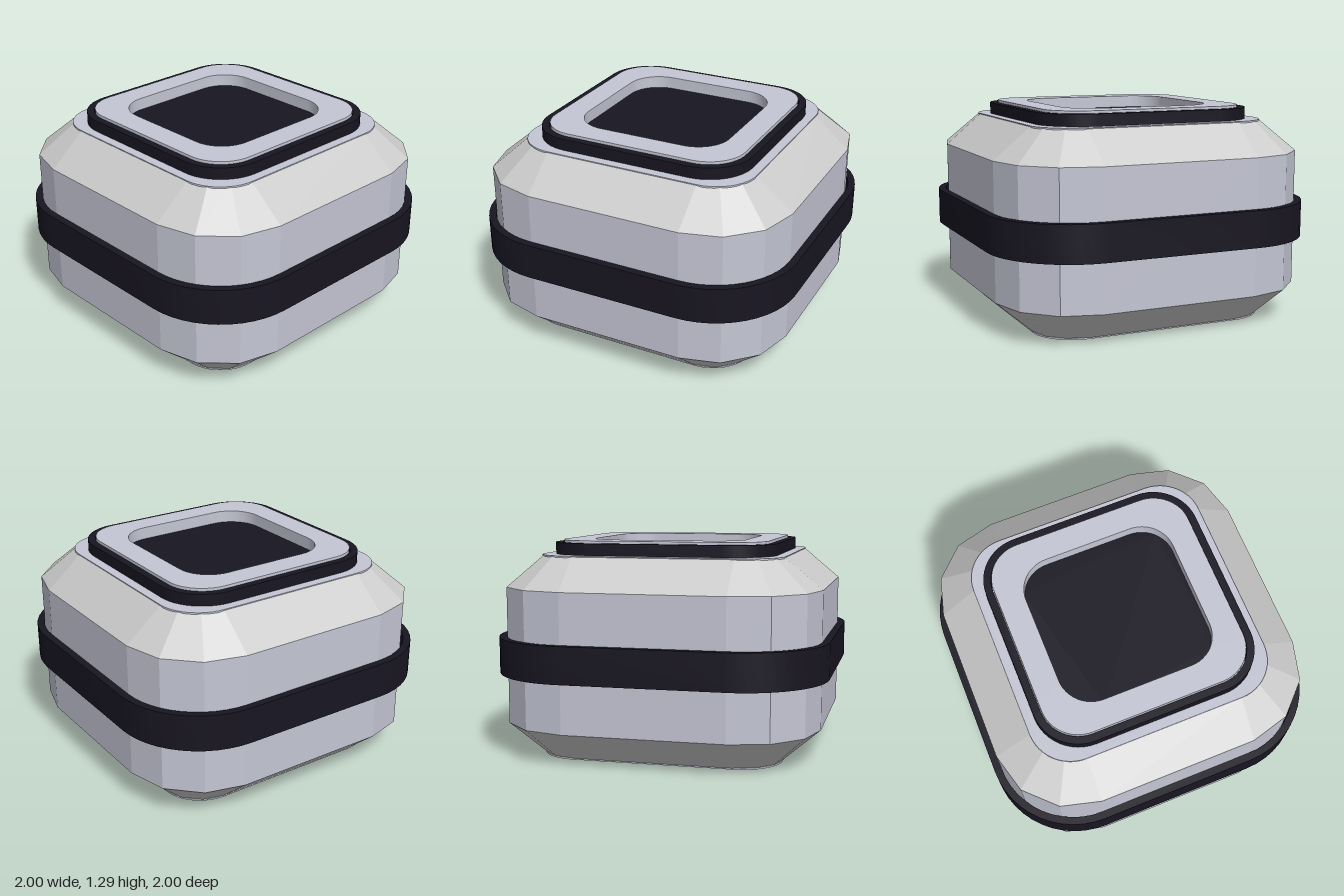
import * as THREE from 'three';
import { toCreasedNormals } from 'three/addons/utils/BufferGeometryUtils.js';

const SHELL = 0xc4c6d4, GREY = 0xcccccc, DARK = 0x181521;

// Outline of a rounded square, counter-clockwise
function outline(half, radius, segments) {
  const points = [], c = half - radius;
  for (let q = 0; q < 4; q++) {
    const cx = q === 0 || q === 3 ? c : -c;
    const cy = q < 2 ? c : -c;
    for (let i = 0; i <= segments; i++) {
      const a = (q + i / segments) * Math.PI / 2;
      points.push(new THREE.Vector2(cx + radius * Math.cos(a), cy + radius * Math.sin(a)));
    }
  }
  return points;
}

function addMesh(group, name, geometry, color, options = {}) {
  const mesh = new THREE.Mesh(geometry, new THREE.MeshStandardMaterial({ color, ...options }));
  mesh.name = name;
  group.add(mesh);
}

// Upright slab between two heights, with an optional rounded-square hole
function slab(y0, y1, half, radius, holeHalf, holeRadius) {
  const shape = new THREE.Shape(outline(half, radius, 12));
  if (holeHalf) shape.holes.push(new THREE.Path(outline(holeHalf, holeRadius, 12)));
  const geometry = new THREE.ExtrudeGeometry(shape, { depth: y1 - y0, bevelEnabled: false });
  geometry.rotateX(-Math.PI / 2).translate(0, y0, 0);
  return toCreasedNormals(geometry, 0.5);
}

// Faceted wall joining two rounded squares, three facets per corner
function facetedWall(y0, half0, radius0, y1, half1, radius1) {
  const low = outline(half0, radius0, 3), high = outline(half1, radius1, 3);
  const positions = [];
  const put = (p, y) => positions.push(p.x, y, -p.y);
  for (let i = 0; i < low.length; i++) {
    const j = (i + 1) % low.length;
    put(low[i], y0); put(low[j], y0); put(high[j], y1);
    put(low[i], y0); put(high[j], y1); put(high[i], y1);
  }
  const geometry = new THREE.BufferGeometry();
  geometry.setAttribute('position', new THREE.Float32BufferAttribute(positions, 3));
  geometry.computeVertexNormals();
  return geometry;
}

export function createModel() {
  const group = new THREE.Group();
  group.name = 'roundedSquareContainer';
  const flat = { flatShading: true, side: THREE.DoubleSide };

  // Faceted body and its sloping shoulders
  addMesh(group, 'bodyWall', facetedWall(0.2, 0.955, 0.475, 1.02, 0.955, 0.475), SHELL, flat);
  addMesh(group, 'lowerBevel', facetedWall(0.005, 0.73, 0.25, 0.2, 0.955, 0.475), GREY, flat);
  addMesh(group, 'upperBevel', facetedWall(1.02, 0.955, 0.475, 1.207, 0.73, 0.25), GREY, flat);

  // End plates
  addMesh(group, 'basePlate', slab(0, 0.01, 0.733, 0.253), SHELL);
  addMesh(group, 'topPlate', slab(1.2, 1.21, 0.733, 0.253), SHELL);

  // Band around the middle
  addMesh(group, 'middleBand', slab(0.5, 0.72, 1, 0.52, 0.955, 0.475), DARK);

  // Collar, rim and recessed floor of the opening
  addMesh(group, 'collar', slab(1.205, 1.28, 0.675, 0.275, 0.63, 0.23), DARK);
  addMesh(group, 'rim', slab(1.205, 1.295, 0.625, 0.225, 0.47, 0.2), SHELL);
  addMesh(group, 'recessFloor', slab(1.205, 1.22, 0.48, 0.21), DARK);

  return group;
}
